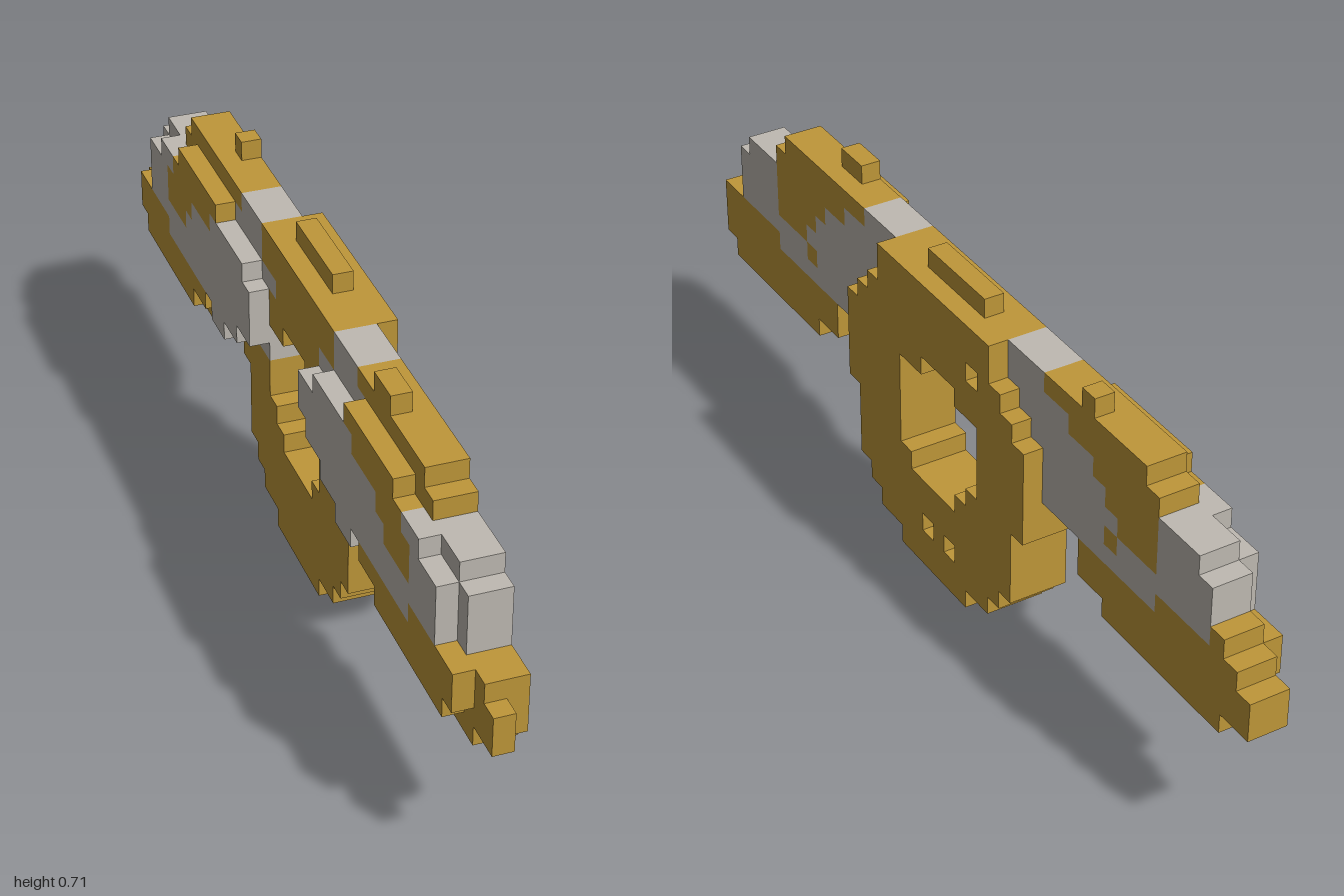
import * as THREE from 'three';
import { mergeGeometries } from 'three/addons/utils/BufferGeometryUtils.js';

const U = 1 / 24; // edge of one block

// One row of blocks: x layers [x0,x1], row number, z from a to b (all in block units)
function bar(x0, x1, row, a, b) {
  const g = new THREE.BoxGeometry((x1 - x0) * U, U, (b - a) * U);
  g.translate((x0 + x1) / 2 * U, (row + 0.5) * U, (a + b) / 2 * U);
  return g;
}

// Wing rows as [row, inner, outer], measured outward from the centre
const wingGold = [
  [15, 8, 16], [14, 10, 17], [13, 12, 17], [12, 13, 17], [11, 14, 17], [10, 13, 14],
  [9, 17, 23], [8, 11, 23], [7, 11, 23], [6, 13, 22],
];
const wingSilver = [
  [15, 5, 8], [14, 5, 10], [13, 3, 12], [13, 17, 20], [12, 4, 13], [12, 17, 21],
  [11, 4, 14], [11, 17, 21], [10, 4, 13], [10, 14, 21], [9, 4, 17],
];
const panelGold = [
  [14, 9, 15], [13, 10, 16], [12, 13, 17], [11, 14, 17], [9, 17, 22], [8, 11, 22], [7, 13, 21],
];
const panelSilver = [
  [13, 5, 10], [13, 16, 18], [12, 4, 13], [12, 17, 20], [11, 4, 14], [11, 17, 20],
  [10, 4, 20], [9, 6, 17], [8, 8, 10],
];

// Ring: half width of each row, and the gaps that cut the rows (hole and dimples)
const ringHalf = [3, 5, 6, 7, 7, 7, 7, 8, 8, 8, 8, 8, 7, 6, 5, 5];
const hole = { 5: [[-2, 2]], 6: [[-3, 3]], 7: [[-4, 3]], 8: [[-4, 3]], 9: [[-4, 3]], 10: [[-4, 3]], 11: [[-2, 1]] };
const dimples = { 2: [[-2, -1], [0, 1]], 13: [[-4, -3]] };

function ringRows(x0, x1, halves, cuts) {
  const out = [];
  halves.forEach((h, row) => {
    let a = -h;
    for (const [c, d] of [...(cuts[row] || []), [h, h]]) {
      if (c > a) out.push(bar(x0, x1, row, a, c));
      a = d;
    }
  });
  return out;
}

export function createModel() {
  const gold = new THREE.MeshStandardMaterial({ color: 0xbf9739 });
  gold.name = 'gold';
  const silver = new THREE.MeshStandardMaterial({ color: 0xbfbab2 });
  silver.name = 'silver';

  const model = new THREE.Group();
  model.name = 'wingedRing';
  const add = (name, material, parts) => {
    const mesh = new THREE.Mesh(mergeGeometries(parts), material);
    mesh.name = name;
    model.add(mesh);
  };

  // Ring: raised face, and a thicker body that meets the wings
  add('ringFace', gold, ringRows(1, 2, ringHalf, { ...hole, ...dimples }));
  const bodyHalf = ringHalf.map((h, row) => (row < 9 ? h : row < 13 ? 4 : row === 13 ? 3 : 5));
  add('ringBody', gold, ringRows(-1, 1, bodyHalf, hole));
  add('ringCrest', gold, [bar(0, 1, 16, -3, 2)]);

  // Mirrored wings, each with a panel on the back
  for (const side of [1, -1]) {
    const label = side > 0 ? 'front' : 'rear';
    const rows = (list, x0, x1) => list.map(([row, a, b]) =>
      bar(x0, x1, row, Math.min(a * side, b * side), Math.max(a * side, b * side)));
    add(label + 'WingGold', gold, rows(wingGold, -1, 1));
    add(label + 'WingSilver', silver, rows(wingSilver, -1, 1));
    add(label + 'PanelGold', gold, rows(panelGold, -2, -1));
    add(label + 'PanelSilver', silver, rows(panelSilver, -2, -1));
    // Wing tip
    add(label + 'WingTip', gold, rows([[7, 23, 24], [8, 23, 24]], -1, side > 0 ? 0 : 1));
  }

  // Odd blocks that differ between the wings
  add('frontWingKnob', gold, [bar(-1, 0, 16, 10, 12)]);
  add('rearWingKnob', gold, [bar(0, 1, 16, -12, -11)]);
  add('rearTipStep', gold, [bar(-1, 1, 10, -22, -21)]);
  add('frontPanelNose', silver, [bar(-2, -1, 11, 3, 4), bar(-2, -1, 12, 3, 4)]);
  return model;
}
